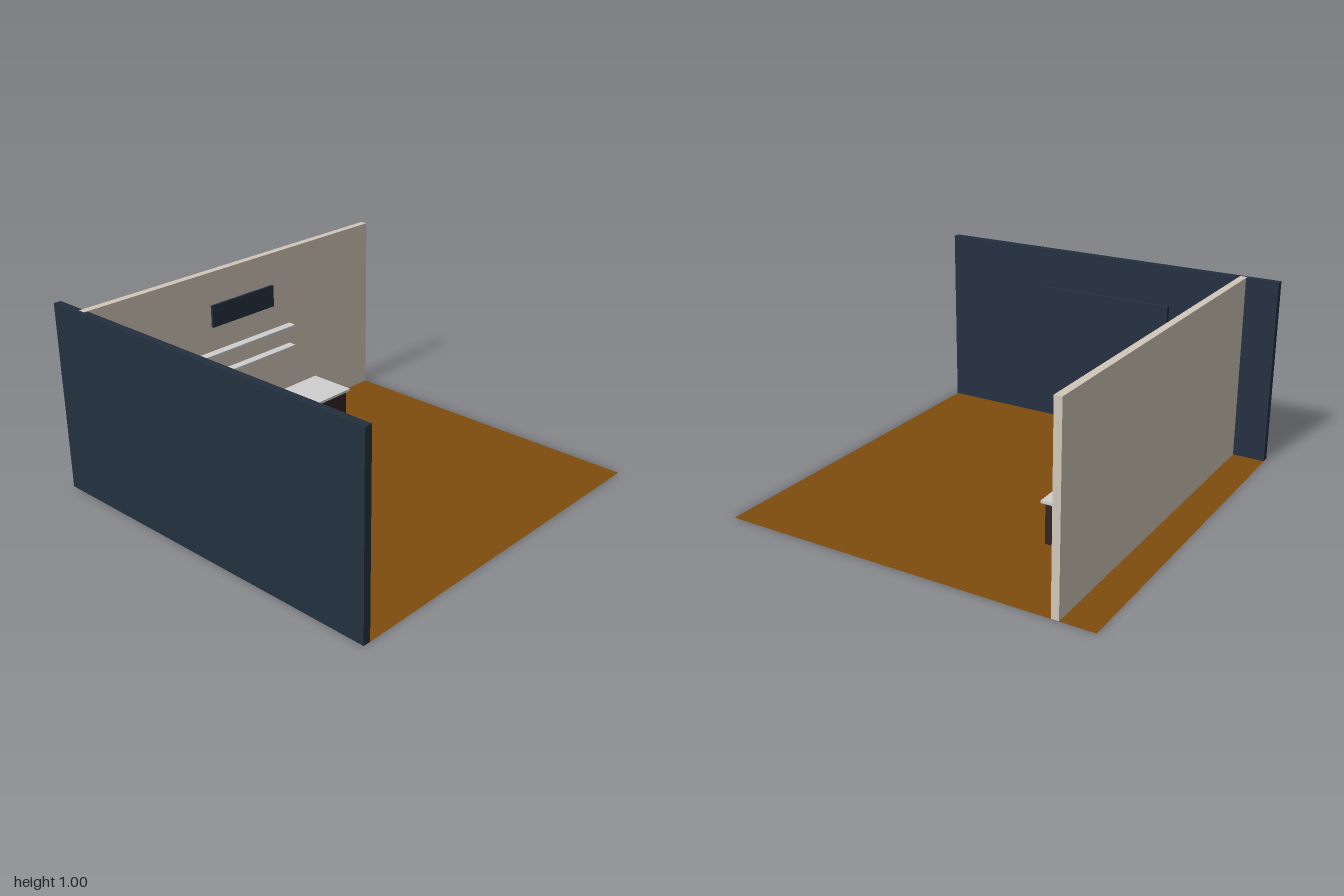
import * as THREE from 'three';

const material = (name, color) => {
  const m = new THREE.MeshStandardMaterial({ color });
  m.name = name;
  return m;
};

export function createModel() {
  const room = new THREE.Group();
  room.name = 'room';

  const navy = material('navy paint', 0x243040);
  const beige = material('beige paint', 0xd2c8ba);
  const wood = material('wood floor', 0x804d0d);
  const brown = material('dark brown', 0x302424);
  const grey = material('light grey', 0xcfd0d1);
  wood.side = THREE.DoubleSide;

  // Box given by its [min, max] extents on each axis
  const box = (name, mat, [x0, x1], [y0, y1], [z0, z1]) => {
    const mesh = new THREE.Mesh(new THREE.BoxGeometry(x1 - x0, y1 - y0, z1 - z0), mat);
    mesh.position.set((x0 + x1) / 2, (y0 + y1) / 2, (z0 + z1) / 2);
    mesh.name = name;
    room.add(mesh);
  };

  // Floor: a thin sheet seen from both sides
  const floor = new THREE.Mesh(new THREE.PlaneGeometry(1.98, 1.98), wood);
  floor.rotation.x = -Math.PI / 2;
  floor.position.x = 0.01;
  floor.name = 'floor';
  room.add(floor);

  // Walls
  box('sideWall', navy, [-1, -0.96], [0.001, 0.995], [-0.99, 0.99]);
  box('backWall', beige, [-0.98, 1], [0.001, 0.997], [-0.815, -0.776]);

  // Wall-mounted panels
  box('sidePanel', navy, [-0.975, -0.937], [0.22, 0.78], [-0.395, 0.395]);
  box('signBoard', navy, [-0.21, 0.228], [0.7, 0.82], [-0.78, -0.762]);

  // Shelves
  for (const y of [0.44, 0.56]) {
    box('shelf', grey, [-0.338, 0.355], [y - 0.005, y + 0.005], [-0.777, -0.729]);
  }

  // Counter
  box('counterBody', brown, [-0.44, 0.453], [0.001, 0.217], [-0.673, -0.437]);
  box('counterTop', grey, [-0.455, 0.47], [0.216, 0.23], [-0.69, -0.422]);

  return room;
}
